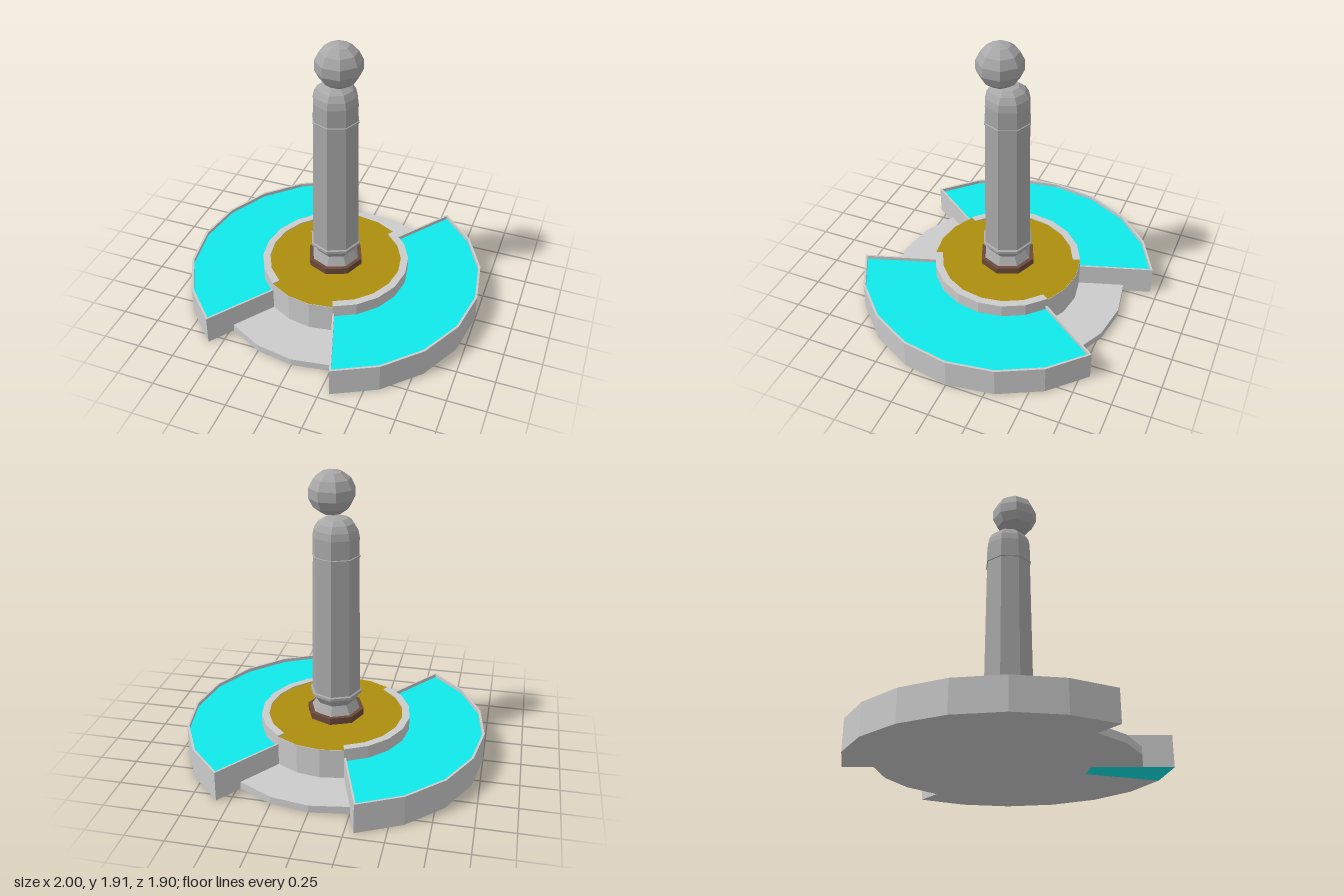
import * as THREE from 'three';

const STEP = Math.PI / 10; // everything round in the base is 20-sided
const mat = (color, side = THREE.FrontSide) =>
  new THREE.MeshStandardMaterial({ color, flatShading: true, side });

const grey = mat(0xcccccc);
const pillarGrey = mat(0xa8a8a8);
const water = mat(0x10e8ea, THREE.DoubleSide);
const gold = mat(0xac8e0e);
const brown = mat(0x6b4a3a);

// Outline of a ring sector between two steps; inset pulls the straight ends inwards.
function sectorPoints(r0, r1, s0, s1, inset = 0) {
  const row = (r) => {
    const pts = [];
    for (let s = s0; s <= s1; s++) {
      let a = s * STEP;
      if (s === s0) a += Math.asin(inset / r);
      if (s === s1) a -= Math.asin(inset / r);
      pts.push(new THREE.Vector2(r * Math.cos(a), r * Math.sin(a)));
    }
    return pts;
  };
  return [...row(r1), ...row(r0).reverse()];
}

function discPoints(r) {
  return Array.from({ length: 20 }, (_, s) =>
    new THREE.Vector2(r * Math.cos(s * STEP), r * Math.sin(s * STEP)));
}

// Upright slab from y0 to y1 with a plan outline (x, z) and an optional hole.
function slab(name, points, y0, y1, material, hole) {
  const shape = new THREE.Shape(points);
  if (hole) shape.holes.push(new THREE.Path(hole));
  const geo = new THREE.ExtrudeGeometry(shape, { depth: y1 - y0, bevelEnabled: false });
  geo.rotateX(Math.PI / 2).translate(0, y1, 0);
  const mesh = new THREE.Mesh(geo, material);
  mesh.name = name;
  return mesh;
}

// Flat horizontal sheet at height y.
function sheet(name, points, y, material) {
  const geo = new THREE.ShapeGeometry(new THREE.Shape(points));
  geo.rotateX(-Math.PI / 2).scale(1, 1, 1);
  const mesh = new THREE.Mesh(geo, material);
  mesh.name = name;
  mesh.position.y = y;
  return mesh;
}

const mirrorZ = (points) => points.map((p) => new THREE.Vector2(p.x, -p.y));

function basin(name) {
  const g = new THREE.Group();
  g.name = name;
  const inner = sectorPoints(0.497, 0.985, -3, 4, 0.012);
  g.add(slab('basinWall', sectorPoints(0.48, 1, -3, 4), 0, 0.2, grey, inner));
  g.add(slab('basinFloor', sectorPoints(0.48, 0.995, -3, 4), 0, 0.04, grey));
  g.add(sheet('waterSurface', mirrorZ(inner), 0.175, water));
  // raised kerb on the central drum, beside the basin
  g.add(slab('kerb', sectorPoints(0.45, 0.5, -3, 4), 0.2, 0.262, grey));
  return g;
}

export function createModel() {
  const model = new THREE.Group();
  model.name = 'fountain';

  // Base: low step, central drum and its paved top
  model.add(slab('lowStep', discPoints(0.81), 0, 0.05, grey));
  model.add(slab('centralDrum', discPoints(0.5), 0, 0.253, grey));
  model.add(sheet('pavedTop', mirrorZ(discPoints(0.499)), 0.255, gold));

  // Two basins, half a turn apart
  const left = basin('leftBasin');
  const right = basin('rightBasin');
  right.rotation.y = Math.PI;
  model.add(left, right);

  // Water-coloured patch on the underside of one basin
  model.add(sheet('undersidePatch', mirrorZ(sectorPoints(0.5, 1, 3, 4)), -0.0008, water));

  // Plinth below the pillar
  const plinth = new THREE.Mesh(new THREE.CylinderGeometry(0.19, 0.19, 0.045, 8), brown);
  plinth.name = 'plinth';
  plinth.position.y = 0.2775;
  model.add(plinth);

  // Eight-sided pillar with waisted foot, two bands and a domed head
  const profile = [
    [0.163, 0.3], [0.127, 0.358], [0.163, 0.415], [0.174, 0.418], [0.174, 0.436],
    [0.163, 0.442], [0.15, 1.37], [0.156, 1.372], [0.156, 1.381], [0.15, 1.384],
    [0.15, 1.505], [0.14, 1.55], [0.115, 1.59], [0.075, 1.617], [0, 1.625],
  ].map(([r, y]) => new THREE.Vector2(r, y));
  const pillar = new THREE.Mesh(new THREE.LatheGeometry(profile, 8), pillarGrey);
  pillar.name = 'pillar';
  model.add(pillar);

  // Ball, set slightly off the pillar's axis
  const ball = new THREE.Mesh(new THREE.SphereGeometry(0.143, 8, 7), pillarGrey);
  ball.name = 'ball';
  ball.scale.set(1.06, 1, 1.06);
  ball.rotation.y = Math.PI / 8;
  ball.position.set(0.034, 1.768, 0.034);
  model.add(ball);

  return model;
}
